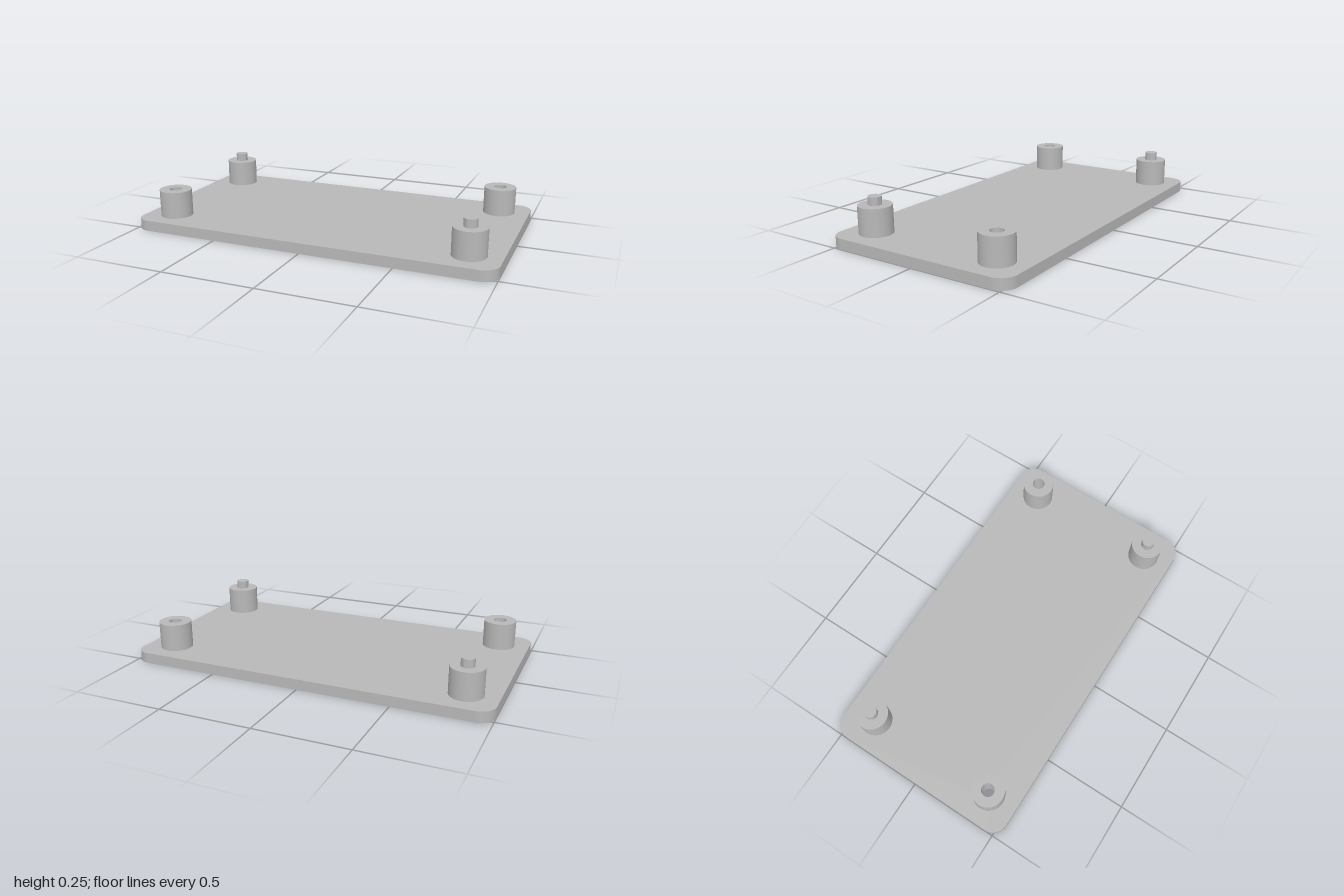
import * as THREE from 'three';
import { toCreasedNormals } from 'three/addons/utils/BufferGeometryUtils.js';

const W = 1, D = 0.537, CORNER = 0.085;      // plate half sizes and corner radius
const PLATE_TOP = 0.058, POST_TOP = 0.206, PIN_TOP = 0.25;
const POST_R = 0.088, PIN_R = 0.035;
const PX = 0.833, PZ = 0.371;                // post positions
const SEGMENTS = 48;

// Upright turned part from [radius, height] points
function turned(points) {
  const profile = points.map(([r, y]) => new THREE.Vector2(r, y));
  return toCreasedNormals(new THREE.LatheGeometry(profile, SEGMENTS), 0.6);
}

// Rounded plate with the through holes
function plateGeometry(holes) {
  const s = new THREE.Shape();
  const x = W - CORNER, y = D - CORNER;
  s.absarc(x, y, CORNER, 0, Math.PI / 2);
  s.absarc(-x, y, CORNER, Math.PI / 2, Math.PI);
  s.absarc(-x, -y, CORNER, Math.PI, Math.PI * 1.5);
  s.absarc(x, -y, CORNER, Math.PI * 1.5, Math.PI * 2);
  for (const [hx, hz] of holes) {
    s.holes.push(new THREE.Path().absarc(hx, -hz, PIN_R, 0, Math.PI * 2, true));
  }
  const g = new THREE.ExtrudeGeometry(s, { depth: PLATE_TOP, bevelEnabled: false, curveSegments: 24 });
  g.rotateX(-Math.PI / 2);
  return toCreasedNormals(g, 0.6);
}

export function createModel() {
  const group = new THREE.Group();
  group.name = 'mountingPlate';
  const grey = new THREE.MeshStandardMaterial({ color: 0xb8b8b8 });
  grey.name = 'grey';

  const add = (geometry, name, x = 0, z = 0) => {
    const mesh = new THREE.Mesh(geometry, grey);
    mesh.name = name;
    mesh.position.set(x, 0, z);
    group.add(mesh);
  };

  const hollowSpots = [[PX, -PZ], [-PX, PZ]];
  const pinSpots = [[PX, PZ], [-PX, -PZ]];

  add(plateGeometry(hollowSpots), 'basePlate');

  // Hollow posts, bored through the plate
  const hollowPost = turned([[POST_R, PLATE_TOP], [POST_R, POST_TOP], [PIN_R, POST_TOP], [PIN_R, PLATE_TOP]]);
  for (const [x, z] of hollowSpots) add(hollowPost, 'hollowPost', x, z);

  // Solid posts with a locating pin
  const pinPost = turned([[POST_R, PLATE_TOP], [POST_R, POST_TOP], [PIN_R, POST_TOP], [PIN_R, PIN_TOP], [0, PIN_TOP]]);
  for (const [x, z] of pinSpots) add(pinPost, 'pinPost', x, z);

  return group;
}
